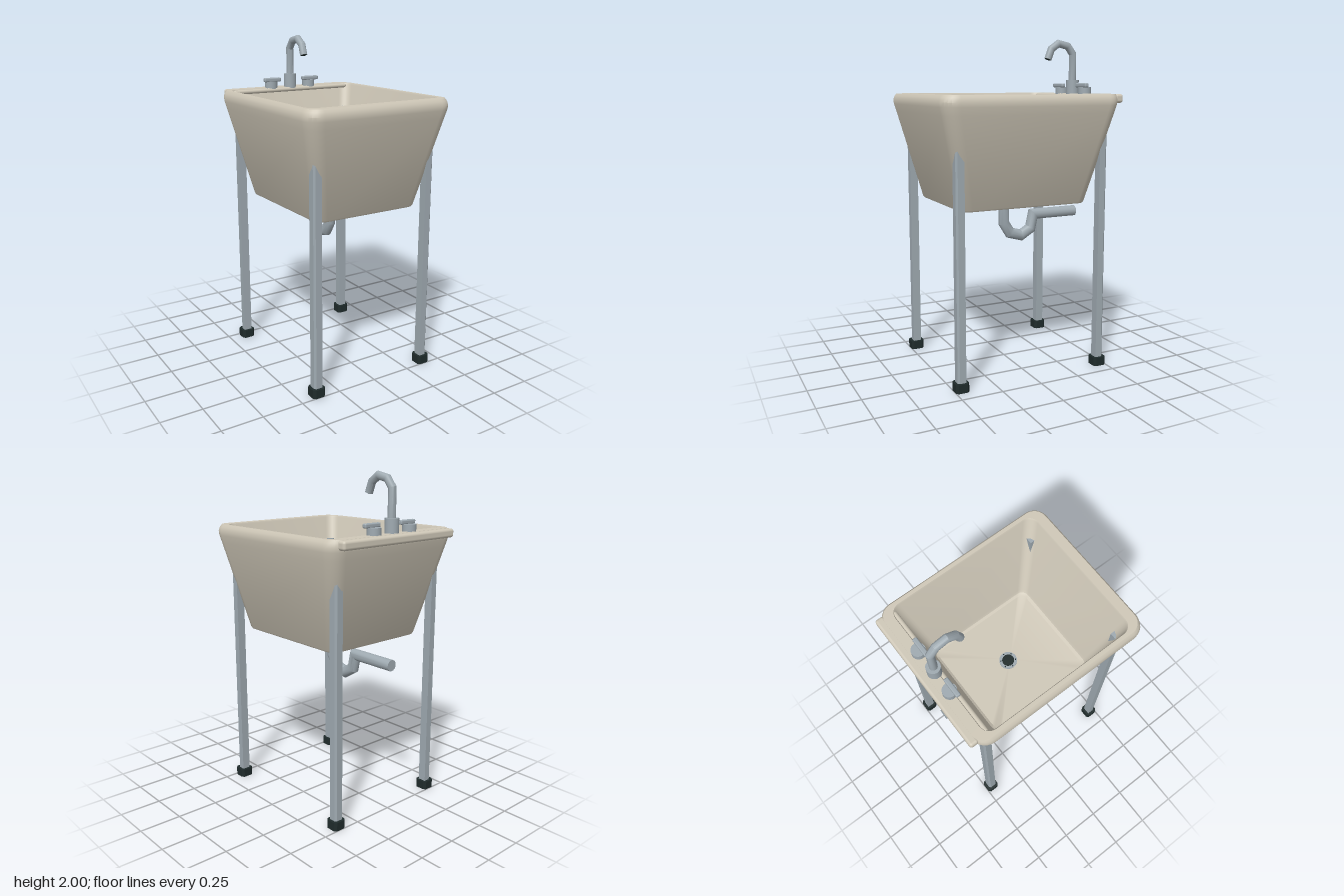
import * as THREE from 'three';
import { toCreasedNormals } from 'three/addons/utils/BufferGeometryUtils.js';
import { RoundedBoxGeometry } from 'three/addons/geometries/RoundedBoxGeometry.js';

const material = (name, color) => {
  const m = new THREE.MeshStandardMaterial({ color });
  m.name = name;
  return m;
};

// Skin a list of equally long rings of points
function loft(rings, crease) {
  const n = rings[0].length;
  const index = [];
  for (let k = 0; k < rings.length - 1; k++) {
    for (let i = 0; i < n; i++) {
      const j = (i + 1) % n;
      const a = k * n + i, b = k * n + j;
      index.push(a, a + n, b, b, a + n, b + n);
    }
  }
  const g = new THREE.BufferGeometry();
  g.setAttribute('position', new THREE.Float32BufferAttribute(rings.flat(2), 3));
  g.setIndex(index);
  return toCreasedNormals(g, crease);
}

// Horizontal rounded rectangle: half width, front z, back z, corner radius, height
function roundedRing([hx, zf, zb, r, y]) {
  const pts = [];
  const steps = 6;
  const corners = [[hx - r, zf - r], [r - hx, zf - r], [r - hx, zb + r], [hx - r, zb + r]];
  corners.forEach(([cx, cz], c) => {
    for (let s = 0; s <= steps; s++) {
      const t = (c + s / steps) * Math.PI / 2;
      pts.push([cx + r * Math.cos(t), y, cz + r * Math.sin(t)]);
    }
  });
  return pts;
}

// Mitred round pipe along [z, y] points in the x = 0 plane, with closed ends
function pipe(path, radius, sides = 16) {
  const pts = path.map(([z, y]) => new THREE.Vector2(z, y));
  const rings = pts.map((p, k) => {
    const before = pts[k].clone().sub(pts[Math.max(k - 1, 0)]).normalize();
    const after = pts[Math.min(k + 1, pts.length - 1)].clone().sub(pts[k]).normalize();
    const dir = before.clone().add(after).normalize();
    const ref = k === 0 ? after : before;
    const stretch = radius / Math.max(dir.dot(ref), 0.5);
    return Array.from({ length: sides }, (_, i) => {
      const t = i / sides * Math.PI * 2;
      const s = Math.sin(t) * stretch;
      return [Math.cos(t) * radius, p.y - dir.x * s, p.x + dir.y * s];
    });
  });
  const cap = (p) => Array.from({ length: sides }, () => [0, p.y, p.x]);
  return loft([cap(pts[0]), ...rings, cap(pts[pts.length - 1])], 0.6);
}

export function createModel() {
  const model = new THREE.Group();
  model.name = 'utilitySink';
  const basinMat = material('stone beige', 0xcfc8b8);
  const metalMat = material('brushed metal', 0x9faab1);
  const darkMat = material('dark rubber', 0x1f2b2b);

  const add = (name, geometry, mat, x = 0, y = 0, z = 0, parent = model) => {
    const mesh = new THREE.Mesh(geometry, mat);
    mesh.name = name;
    mesh.position.set(x, y, z);
    parent.add(mesh);
    return mesh;
  };

  // Basin: outside up, over the rim, inside down to the floor
  const profile = [
    [0, 0.02, 0.02, 0, 1.02],
    [0.342, 0.418, -0.385, 0.06, 1.02],
    [0.349, 0.425, -0.392, 0.065, 1.03],
    [0.466, 0.556, -0.529, 0.085, 1.56],
    [0.477, 0.569, -0.541, 0.09, 1.605],
    [0.479, 0.572, -0.545, 0.09, 1.63],
    [0.472, 0.565, -0.541, 0.085, 1.655],
    [0.46, 0.553, -0.535, 0.075, 1.67],
    [0.438, 0.497, -0.477, 0.062, 1.67],
    [0.433, 0.492, -0.472, 0.06, 1.66],
    [0.33, 0.373, -0.352, 0.05, 1.075],
    [0.322, 0.364, -0.343, 0.048, 1.055],
    [0.307, 0.346, -0.328, 0.045, 1.045],
    [0, 0.01, 0.01, 0, 1.045],
  ];
  add('basin', loft(profile.map(roundedRing), 0.5), basinMat);
  add('backLip', new RoundedBoxGeometry(0.87, 0.052, 0.055, 3, 0.016), basinMat, 0, 1.643, -0.5475);

  // Rolled strip along the inner back edge
  const strip = new THREE.CapsuleGeometry(0.014, 0.81, 4, 12).rotateZ(Math.PI / 2);
  add('innerBackStrip', strip, basinMat, 0, 1.655, -0.461);

  // Drain in the floor
  add('drainRing', new THREE.CylinderGeometry(0.055, 0.055, 0.008, 32), metalMat, 0, 1.047, -0.005);
  add('drainOpening', new THREE.CylinderGeometry(0.037, 0.037, 0.004, 32), darkMat, 0, 1.051, -0.005);
  for (let i = 0; i < 6; i++) {
    const t = i * Math.PI / 3;
    add('drainScrew', new THREE.CylinderGeometry(0.004, 0.004, 0.004, 8), darkMat,
      0.046 * Math.cos(t), 1.051, -0.005 + 0.046 * Math.sin(t));
  }

  // Waste pipe with its trap
  add('wastePipe', pipe([[0, 1.03], [0, 0.868], [-0.042, 0.802], [-0.12, 0.78],
    [-0.187, 0.82], [-0.207, 0.91], [-0.51, 0.91]], 0.034), metalMat);

  // Legs: square posts with a chamfered outer corner, on rubber feet
  const w = 0.025, c = 0.01;
  const legShape = new THREE.Shape([[-w, -w], [w, -w], [w, w - c], [w - c, w], [-w, w]]
    .map(([x, y]) => new THREE.Vector2(x, y)));
  const f = 0.041, fc = 0.014;
  const footShape = new THREE.Shape([[-f, fc - f], [fc - f, -f], [f - fc, -f], [f, fc - f],
    [f, f - fc], [f - fc, f], [fc - f, f], [-f, f - fc]].map(([x, y]) => new THREE.Vector2(x, y)));
  const post = (shape, height) => new THREE.ExtrudeGeometry(shape, { depth: height, bevelEnabled: false })
    .rotateX(-Math.PI / 2);
  const quarterTurns = [
    ['backLeft', 1, -1, 0], ['backRight', -1, -1, Math.PI / 2],
    ['frontRight', -1, 1, Math.PI], ['frontLeft', 1, 1, -Math.PI / 2],
  ];
  for (const [name, sx, sz, turn] of quarterTurns) {
    const leg = new THREE.Group();
    leg.name = name + 'Leg';
    leg.position.set(sx * 0.384, 0, sz > 0 ? 0.461 : -0.459);
    leg.rotation.y = turn;
    model.add(leg);
    add('post', post(legShape, 1.49), metalMat, 0, 0.03, 0, leg);
    add('foot', post(footShape, 0.052), darkMat, 0, 0, 0, leg);
  }

  // Faucet
  add('faucetBase', new THREE.CylinderGeometry(0.04, 0.04, 0.09, 24), metalMat, 0, 1.707, -0.487);
  add('spout', pipe([[-0.485, 1.74], [-0.485, 1.915], [-0.447, 1.963], [-0.38, 1.977],
    [-0.33, 1.943], [-0.306, 1.88]], 0.023), metalMat);
  add('spoutOpening', new THREE.CylinderGeometry(0.018, 0.018, 0.004, 16).rotateX(-0.36),
    darkMat, 0, 1.88, -0.306);

  // Tap handles
  for (const side of [1, -1]) {
    const tap = new THREE.Group();
    tap.name = side > 0 ? 'leftTap' : 'rightTap';
    tap.position.set(side * 0.139, 0, -0.489);
    model.add(tap);
    add('knob', new THREE.CylinderGeometry(0.04, 0.04, 0.046, 24), metalMat, 0, 1.687, 0, tap);
    add('handle', new RoundedBoxGeometry(0.118, 0.026, 0.028, 3, 0.008), metalMat, 0, 1.72, 0.018, tap);
  }
  return model;
}
